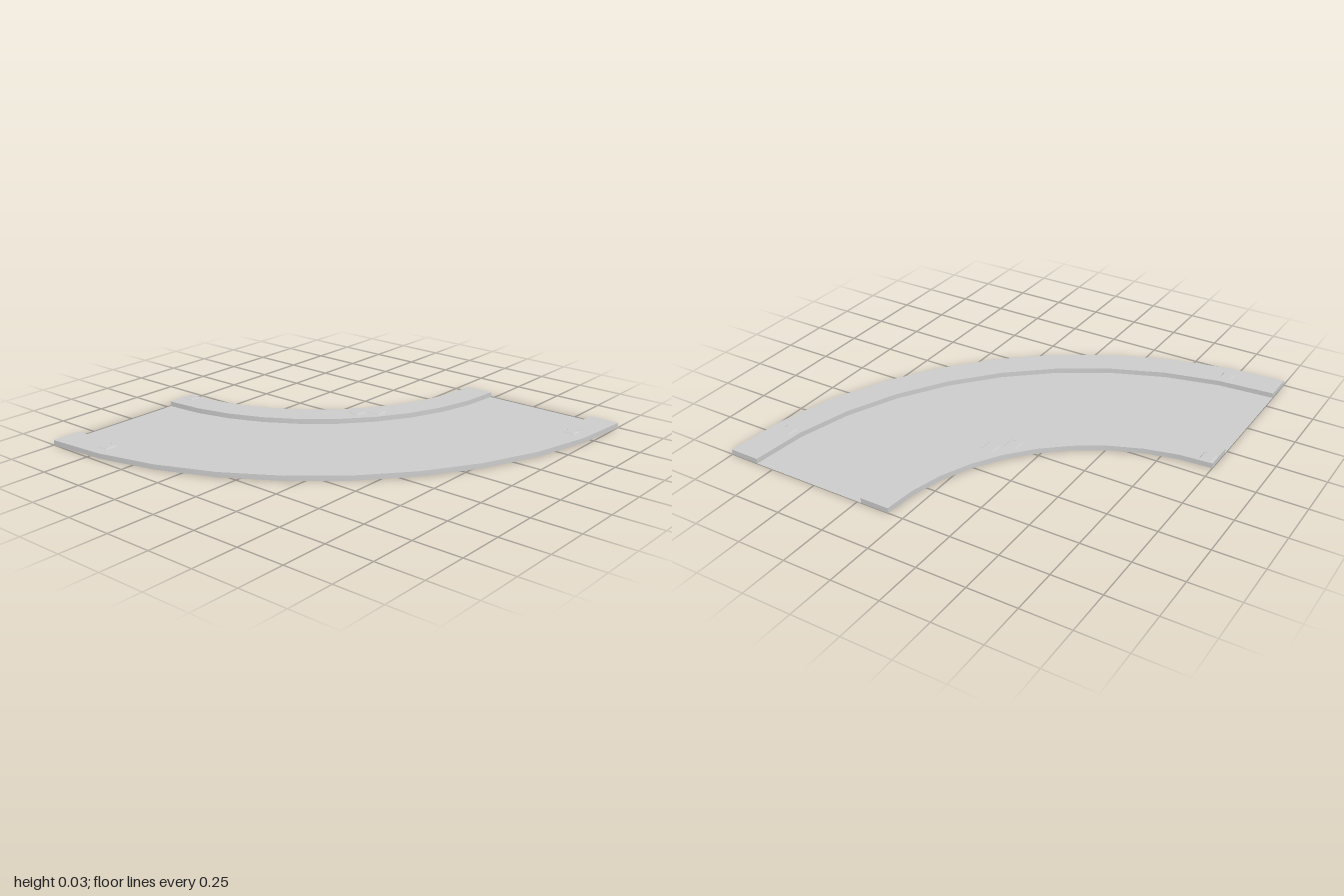
import * as THREE from 'three';
import { toCreasedNormals } from 'three/addons/utils/BufferGeometryUtils.js';

const SEGMENTS = 10;
const CURB_HEIGHT = 0.026;
const STUD_HEIGHT = 0.006;
const INNER = [1.08, 1.23];
const OUTER = [1.845, 2];

export function createModel() {
  const model = new THREE.Group();
  model.name = 'curvedRoad';
  const material = new THREE.MeshStandardMaterial({ color: 0xcccccc, side: THREE.DoubleSide });

  const add = (parent, name, geometry) => {
    const mesh = new THREE.Mesh(geometry, material);
    mesh.name = name;
    parent.add(mesh);
    return mesh;
  };

  // Quarter-turn sweep of a [radius, height] profile
  const sweep = (profile) => toCreasedNormals(
    new THREE.LatheGeometry(profile.map(([r, y]) => new THREE.Vector2(r, y)),
      SEGMENTS, -Math.PI / 2, Math.PI / 2), Math.PI / 6);

  // The bend turns about the back left corner
  const bend = new THREE.Group();
  bend.name = 'bend';
  bend.position.set(1, 0, -1);
  model.add(bend);

  // Thin road surface at ground level
  add(bend, 'roadSurface', sweep([[OUTER[0], 0], [INNER[1], 0]]));

  // Raised curbs, hollow underneath, closed at both ends
  const curb = (name, [r0, r1]) => {
    const group = new THREE.Group();
    group.name = name;
    bend.add(group);
    add(group, name + 'Shell',
      sweep([[r1, 0], [r1, CURB_HEIGHT], [r0, CURB_HEIGHT], [r0, 0]]));
    const middle = (r0 + r1) / 2;
    const backCap = add(group, name + 'BackEnd', new THREE.PlaneGeometry(r1 - r0, CURB_HEIGHT));
    backCap.rotation.y = Math.PI;
    backCap.position.set(-middle, CURB_HEIGHT / 2, 0);
    const sideCap = add(group, name + 'SideEnd', new THREE.PlaneGeometry(r1 - r0, CURB_HEIGHT));
    sideCap.rotation.y = Math.PI / 2;
    sideCap.position.set(0, CURB_HEIGHT / 2, middle);
  };
  curb('innerCurb', INNER);
  curb('outerCurb', OUTER);

  // Low bevelled square studs on the curbs
  const studGeometry = new THREE.CylinderGeometry(0.039, 0.048, STUD_HEIGHT, 4, 1, true)
    .rotateY(Math.PI / 4).toNonIndexed();
  studGeometry.computeVertexNormals();
  const studTop = new THREE.PlaneGeometry(0.055, 0.055).rotateX(-Math.PI / 2);
  const studs = [[-0.115, -0.96], [-0.89, -0.73], [0.265, -0.12], [0.34, -0.04], [0.73, 0.885]];
  studs.forEach(([x, z], i) => {
    const stud = new THREE.Group();
    stud.name = `stud${i + 1}`;
    stud.position.set(x, CURB_HEIGHT + STUD_HEIGHT / 2, z);
    model.add(stud);
    add(stud, 'studSides', studGeometry);
    add(stud, 'studTop', studTop).position.y = STUD_HEIGHT / 2;
  });

  return model;
}
